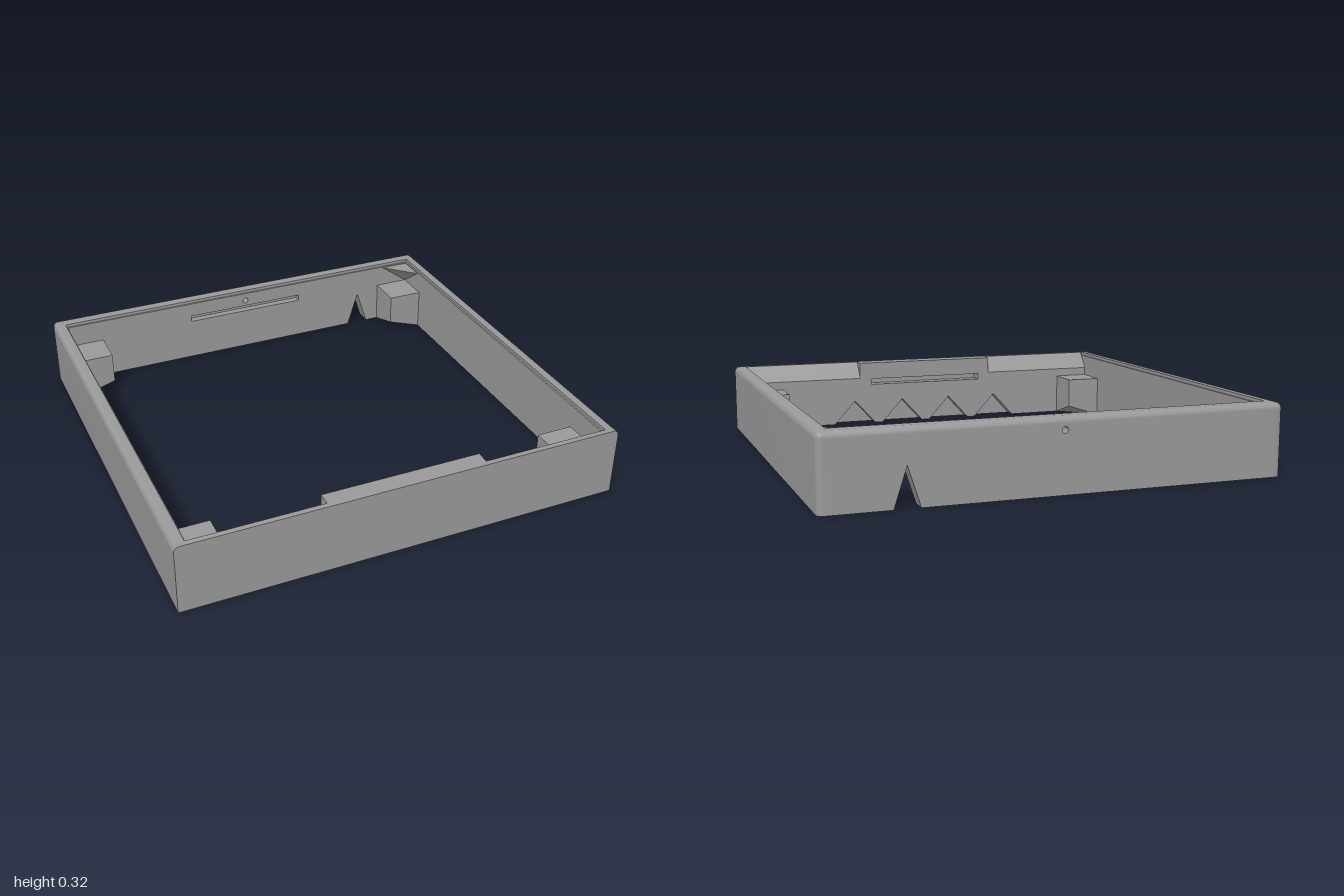
import * as THREE from 'three';
import { toCreasedNormals } from 'three/addons/utils/BufferGeometryUtils.js';
import { ConvexGeometry } from 'three/addons/geometries/ConvexGeometry.js';

const W = 1, D = 0.975, H = 0.32, R = 0.025;
const INX = 0.94, BACK = -0.9, FRONT = 0.89, LIP = 0.95, CAP = 0.29;

export function createModel() {
  const model = new THREE.Group();
  const grey = new THREE.MeshStandardMaterial({ color: 0x999999 });
  grey.name = 'grey plastic';

  const add = (name, geometry) => {
    const mesh = new THREE.Mesh(geometry, grey);
    mesh.name = name;
    model.add(mesh);
    return mesh;
  };
  const shapeOf = (pts) => new THREE.Shape(pts.map(([x, y]) => new THREE.Vector2(x, y)));
  const hull = (pts) => new ConvexGeometry(pts.map((p) => new THREE.Vector3(...p)));
  const extrude = (shape, depth) =>
    new THREE.ExtrudeGeometry(shape, { depth, bevelEnabled: false, curveSegments: 8 });
  // Upright panel between two z positions
  const panel = (name, shape, z0, z1) =>
    add(name, toCreasedNormals(extrude(shape, z1 - z0).translate(0, 0, z0), 0.6));

  // Rectangle standing on y = 0 with triangular notches [x, halfWidth, height] in its lower edge
  const notched = (halfWidth, height, notches) => {
    const pts = [[-halfWidth, 0]];
    for (const [x, w, h] of notches) pts.push([x - w, 0], [x, h], [x + w, 0]);
    pts.push([halfWidth, 0], [halfWidth, height], [-halfWidth, height]);
    return shapeOf(pts);
  };
  const slot = () => new THREE.Path().moveTo(-0.3, 0.205).lineTo(0.3, 0.205)
    .lineTo(0.3, 0.235).lineTo(-0.3, 0.235).closePath();
  const pinHole = () => new THREE.Path().absarc(0, 0.265, 0.014, 0, Math.PI * 2);

  // Quarter round of the rear corner for a given inset, in plan (x, z)
  const cornerArc = (inset) => {
    const pts = [];
    for (let i = 0; i <= 6; i++) {
      const a = (i / 6) * Math.PI / 2, r = Math.max(R - inset, 0), c = Math.max(R, inset);
      pts.push([W - c + r * Math.cos(a), -D + c - r * Math.sin(a)]);
    }
    return pts;
  };

  // Side walls with rounded rear corners
  for (const s of [1, -1]) {
    const plan = [[INX, LIP], [W, LIP], ...cornerArc(0), [0.9, -D], [0.9, BACK], [INX, BACK]];
    const wall = extrude(shapeOf(plan.map(([x, z]) => [s * x, -z])), CAP).rotateX(-Math.PI / 2);
    add(s > 0 ? 'leftWall' : 'rightWall', toCreasedNormals(wall, 0.6));
  }

  // Rounded rim over the side and back walls, lofted through U-shaped rings
  const ring = (inset, y, inner) => {
    const arc = inner ? Array(7).fill(inner) : cornerArc(inset);
    const half = [[inner ? inner[0] : W - inset, LIP], ...arc];
    const all = [...half, ...half.slice().reverse().map(([x, z]) => [-x, z])];
    return all.map(([x, z]) => [x, y, z]);
  };
  const rings = [ring(0, CAP), ring(0, H - R)];
  for (let i = 1; i <= 5; i++) {
    const a = (i / 5) * Math.PI / 2;
    rings.push(ring(R * (1 - Math.cos(a)), H - R * (1 - Math.sin(a))));
  }
  const step = [INX + 0.008, BACK - 0.008], inside = [INX, BACK];
  rings.push(ring(0, H, step), ring(0, 0.305, step), ring(0, 0.305, inside), ring(0, CAP, inside));
  const n = rings[0].length, index = [];
  for (let j = 0; j < rings.length - 1; j++) {
    for (let i = 0; i < n - 1; i++) {
      const a = j * n + i, b = a + 1, c = a + n, d = c + 1;
      index.push(a, b, c, b, d, c);
    }
  }
  const rim = new THREE.BufferGeometry();
  rim.setAttribute('position', new THREE.Float32BufferAttribute(rings.flat(2), 3));
  rim.setIndex(index);
  add('roundedRim', toCreasedNormals(rim, 0.6));

  // Back wall: outer skin with pin hole, inner skin with the long catch slot
  const outlet = [[0.65, 0.055, 0.17]];
  const outerBack = notched(0.9, CAP, outlet);
  outerBack.holes.push(pinHole());
  panel('backWallOuter', outerBack, -D, -0.935);
  const innerBack = notched(0.9, CAP, outlet);
  innerBack.holes.push(slot(), pinHole());
  panel('backWallInner', innerBack, -0.935, BACK);

  // Front wall: outer plate with rounded upper corners
  const plate = new THREE.Shape().moveTo(-W, 0).lineTo(W, 0).lineTo(W, H - R)
    .absarc(W - R, H - R, R, 0, Math.PI / 2, false)
    .absarc(-W + R, H - R, R, Math.PI / 2, Math.PI, false).closePath();
  panel('frontPlate', plate, LIP, D);

  // Front inner layer with vent notches and catch slot
  const vents = [-0.39, -0.13, 0.13, 0.39].map((x) => [x, 0.11, 0.12]);
  const innerFront = notched(INX, 0.24, vents);
  innerFront.holes.push(slot());
  panel('frontWallInner', innerFront, FRONT, LIP);

  // Raised middle tab and the sloped ledges beside it
  add('frontTab', new THREE.BoxGeometry(0.72, H - 0.24, LIP - FRONT)
    .translate(0, (H + 0.24) / 2, (LIP + FRONT) / 2));
  for (const s of [1, -1]) {
    const pts = [0.36, INX].flatMap((x) =>
      [[s * x, 0.24, FRONT], [s * x, 0.24, LIP], [s * x, H, LIP]]);
    add('slopedLedge', hull(pts));
  }

  // Corner posts, with the inner lower corner cut away
  for (const s of [1, -1]) {
    for (const [wall, free] of [[BACK, -0.73], [FRONT, 0.72]]) {
      const a = s * INX, b = s * 0.77;
      add('cornerPost', hull([
        [a, 0.2, wall], [b, 0.2, wall], [a, 0.2, free], [b, 0.2, free],
        [a, 0, wall], [b, 0, wall], [a, 0, free], [b, 0.055, free],
      ]));
    }
  }

  // Triangular gusset high in one rear corner
  add('cornerGusset', hull([
    [INX, 0.3, BACK], [0.8, 0.3, BACK], [INX, 0.3, -0.76], [INX, 0.2, BACK],
  ]));

  return model;
}
